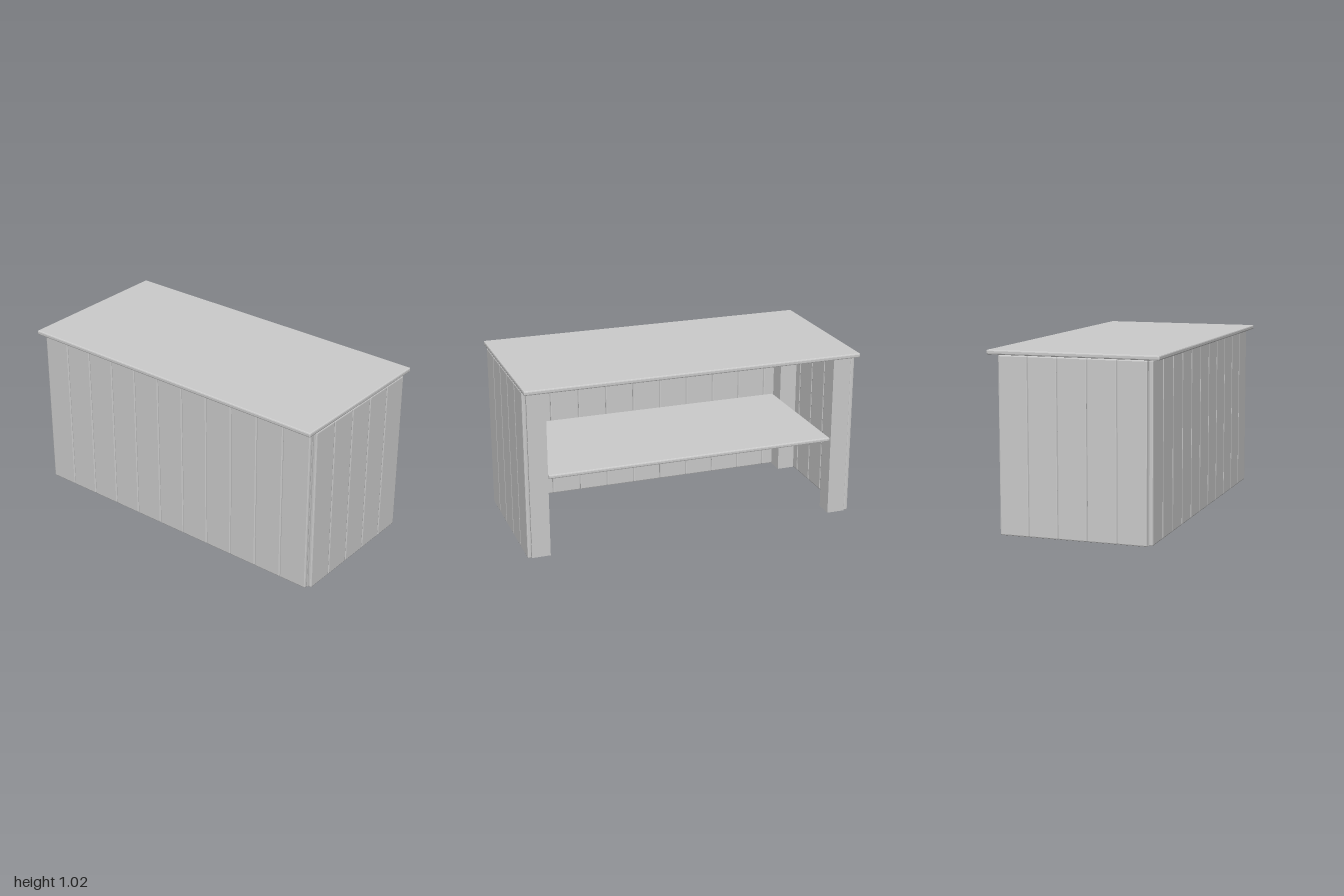
import * as THREE from 'three';
import { RoundedBoxGeometry } from 'three/addons/geometries/RoundedBoxGeometry.js';

const material = new THREE.MeshStandardMaterial({ color: 0xcccccc, flatShading: true });

// Adds a box spanning [x0,x1] x [y0,y1] x [z0,z1], with eased edges when bevel > 0
function addBox(parent, name, [x0, x1], [y0, y1], [z0, z1], bevel = 0) {
  const size = [x1 - x0, y1 - y0, z1 - z0];
  const geometry = bevel > 0
    ? new RoundedBoxGeometry(...size, 1, bevel)
    : new THREE.BoxGeometry(...size);
  const mesh = new THREE.Mesh(geometry, material);
  mesh.name = name;
  mesh.position.set((x0 + x1) / 2, (y0 + y1) / 2, (z0 + z1) / 2);
  parent.add(mesh);
  return mesh;
}

export function createModel() {
  const model = new THREE.Group();
  model.name = 'counter';

  const bevel = 0.007;
  const height = [0, 0.992];
  const halfX = 0.423;   // half width of the end walls
  const halfZ = 0.973;   // half length of the long wall
  const board = 0.025;   // plank thickness
  const post = 0.108;    // square corner posts

  // Counter top
  addBox(model, 'counterTop', [-0.49, 0.49], [0.992, 1.018], [-1, 1], bevel);

  // Planked walls at both ends
  for (const side of [1, -1]) {
    const wall = new THREE.Group();
    wall.name = side > 0 ? 'frontEndWall' : 'backEndWall';
    const count = 5, pitch = (2 * halfX) / count;
    const z = side > 0 ? [halfZ, halfZ + board] : [-halfZ - board, -halfZ];
    for (let i = 0; i < count; i++) {
      const x = -halfX + i * pitch;
      addBox(wall, 'endPlank', [x, x + pitch], height, z, bevel);
    }
    model.add(wall);
  }

  // Planked wall along the closed long side
  const longWall = new THREE.Group();
  longWall.name = 'longWall';
  const count = 11, pitch = (2 * halfZ) / count;
  for (let i = 0; i < count; i++) {
    const z = -halfZ + i * pitch;
    addBox(longWall, 'longWallPlank', [-halfX - board, -halfX], height, [z, z + pitch], bevel);
  }
  model.add(longWall);

  // Corner posts inside the walls
  for (const sx of [1, -1]) {
    for (const sz of [1, -1]) {
      const x = sx > 0 ? [halfX - post, halfX] : [-halfX, -halfX + post];
      const z = sz > 0 ? [halfZ - post, halfZ] : [-halfZ, -halfZ + post];
      addBox(model, 'cornerPost', x, height, z);
    }
  }

  // Shelf between the posts
  addBox(model, 'shelf', [-halfX, halfX], [0.464, 0.488], [-0.86, 0.86], bevel);

  return model;
}
